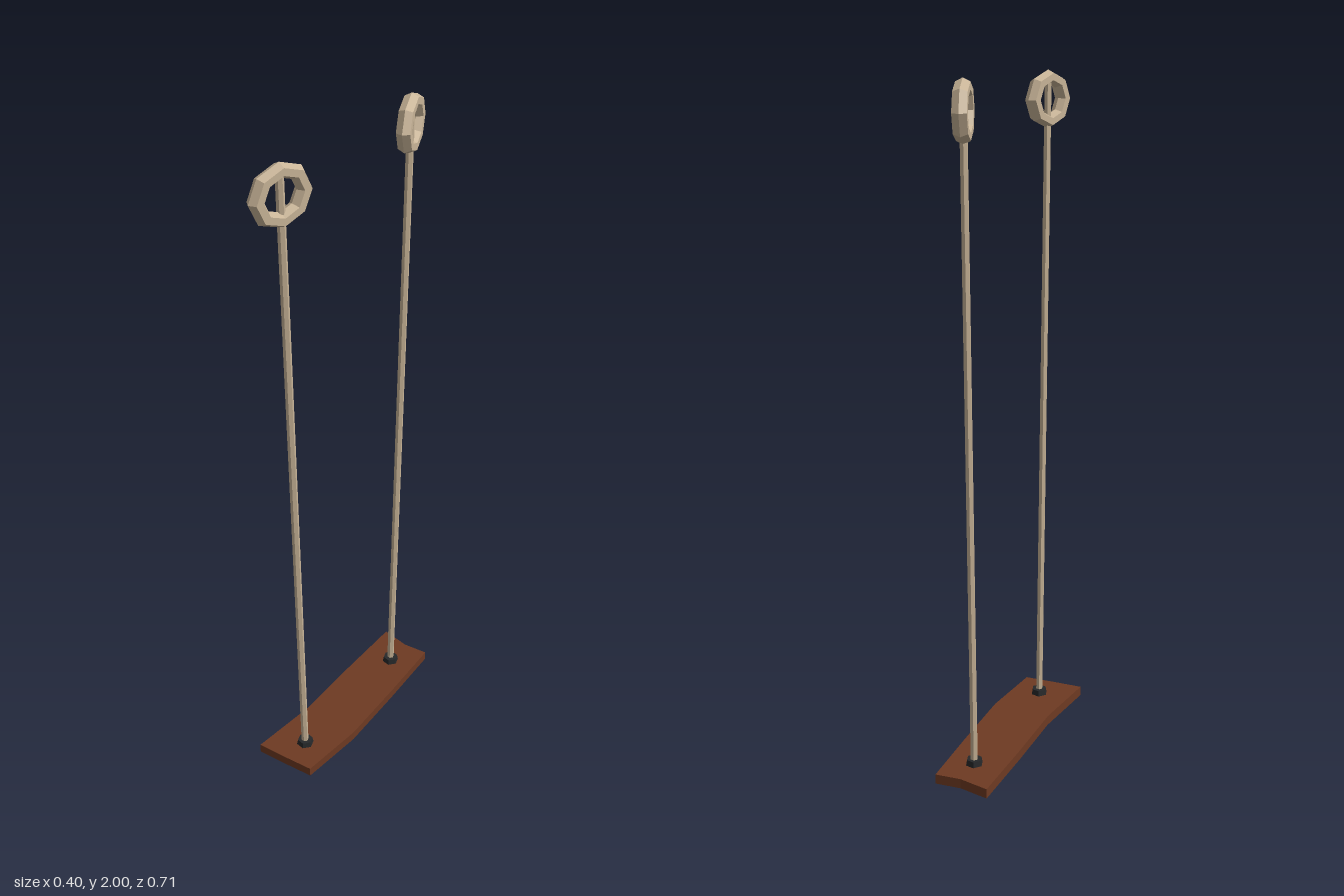
import * as THREE from 'three';

export function createModel() {
  const model = new THREE.Group();
  const material = (name, color) => {
    const m = new THREE.MeshStandardMaterial({ color, flatShading: true });
    m.name = name;
    return m;
  };
  const wood = material('brown wood', 0x6e3a22);
  const rope = material('beige rope', 0xc8b497);
  const iron = material('black iron', 0x26282a);

  const add = (parent, name, geometry, mat) => {
    const mesh = new THREE.Mesh(geometry, mat);
    mesh.name = name;
    parent.add(mesh);
    return mesh;
  };

  // Bent plank: outline in (x, z), extruded upwards
  const outline = [
    [-0.2, 0.27], [-0.11, 0.296], [-0.02, 0.32], [0.066, 0.136], [0.135, -0.08],
    [0.197, -0.286], [0.122, -0.304], [0.042, -0.349], [-0.035, -0.135], [-0.105, 0.072],
  ];
  const shape = new THREE.Shape(outline.map(([x, z]) => new THREE.Vector2(x, -z)));
  const plank = new THREE.ExtrudeGeometry(shape, { depth: 0.03, bevelEnabled: false });
  plank.rotateX(-Math.PI / 2).translate(0, 0.03, 0);
  add(model, 'seat', plank, wood);

  // Six-sided rod between two points
  const rod = (a, b, radius) => {
    const dir = b.clone().sub(a);
    const g = new THREE.CylinderGeometry(radius, radius, dir.length(), 6);
    const turn = new THREE.Quaternion().setFromUnitVectors(new THREE.Vector3(0, 1, 0), dir.normalize());
    const mid = a.clone().add(b).multiplyScalar(0.5);
    return g.applyQuaternion(turn).translate(mid.x, mid.y, mid.z);
  };

  // Each hanger: rope, eight-sided ring, and a fastener above and below the seat
  const hangers = [
    { name: 'frontHanger', foot: [-0.068, 0.22], top: [-0.078, 0.273], turn: 1.0 },
    { name: 'backHanger', foot: [0.092, -0.218], top: [0.098, -0.262], turn: Math.PI / 2 },
  ];
  for (const { name, foot, top, turn } of hangers) {
    const hanger = new THREE.Group();
    hanger.name = name;
    model.add(hanger);

    const from = new THREE.Vector3(foot[0], 0.03, foot[1]);
    const to = new THREE.Vector3(top[0], 1.965, top[1]);
    add(hanger, 'rope', rod(from, to, 0.011), rope);

    const ring = new THREE.TorusGeometry(0.071, 0.022, 6, 8);
    ring.scale(1, 0.87, 1).rotateY(turn).translate(top[0], 1.919, top[1]);
    add(hanger, 'ring', ring, rope);

    const nut = new THREE.CylinderGeometry(0.023, 0.027, 0.02, 6);
    add(hanger, 'upperNut', nut.translate(foot[0], 0.067, foot[1]), iron);
    const knot = new THREE.CylinderGeometry(0.036, 0.032, 0.032, 6);
    add(hanger, 'lowerNut', knot.translate(foot[0], 0.016, foot[1]), iron);
  }
  return model;
}
